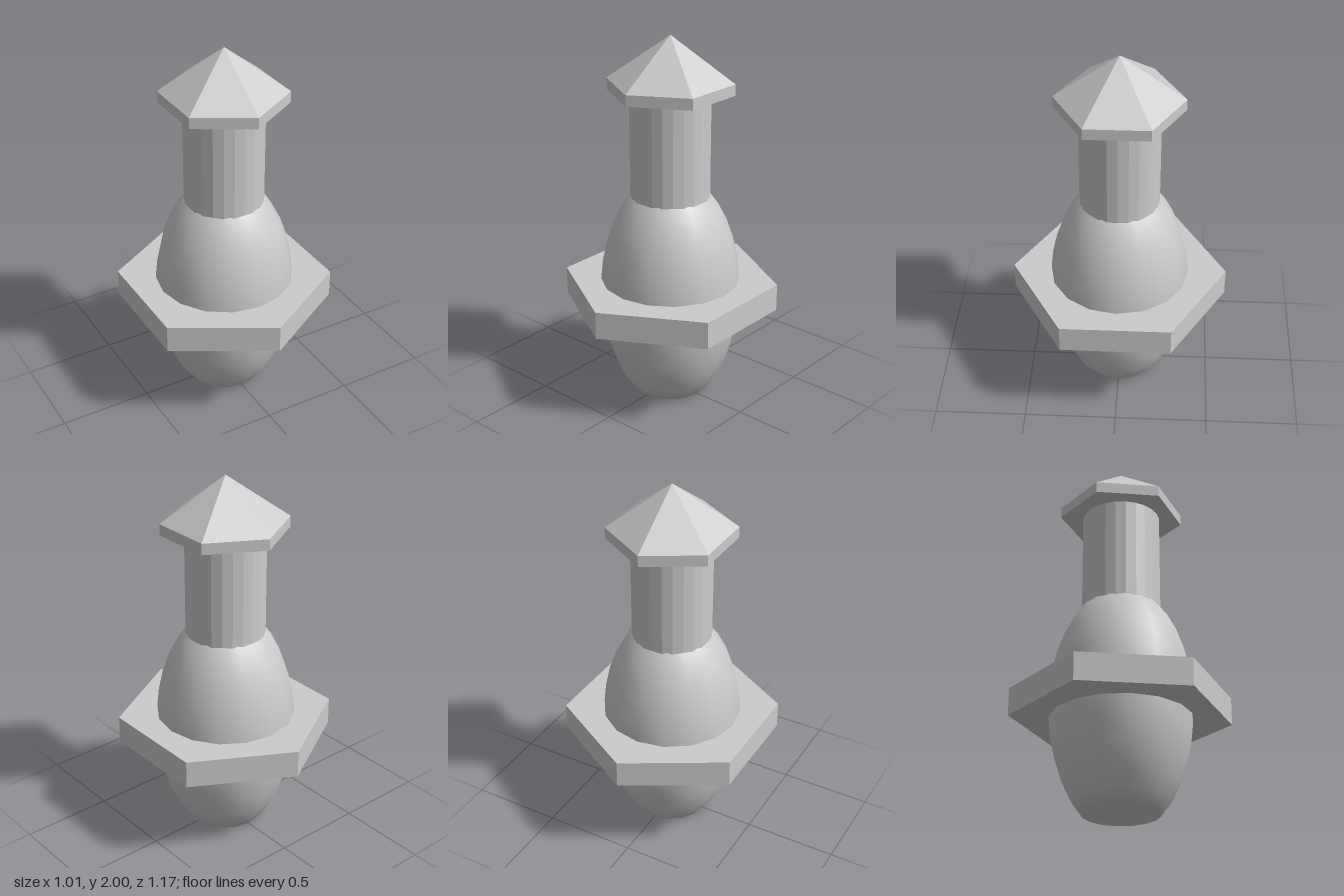
import * as THREE from 'three';

const smooth = new THREE.MeshStandardMaterial({ color: 0xcccccc });
const flat = new THREE.MeshStandardMaterial({ color: 0xcccccc, flatShading: true });

export function createModel() {
  const model = new THREE.Group();

  const add = (name, geometry, material = flat) => {
    const mesh = new THREE.Mesh(geometry, material);
    mesh.name = name;
    model.add(mesh);
  };
  // Upright prism or cone between two heights
  const prism = (rTop, rBottom, y0, y1, sides, open = false) =>
    new THREE.CylinderGeometry(rTop, rBottom, y1 - y0, sides, 1, open).translate(0, (y0 + y1) / 2, 0);

  // Egg-shaped body with a flattened base
  const radius = 0.38, halfHeight = 0.68, centre = 0.58;
  const profile = [new THREE.Vector2(0, 0)];
  for (let deg = -58; deg <= 90; deg += 148 / 14) {
    const a = THREE.MathUtils.degToRad(deg);
    profile.push(new THREE.Vector2(
      Math.max(0, radius * Math.cos(a)),
      Math.max(0, centre + halfHeight * Math.sin(a))
    ));
  }
  add('body', new THREE.LatheGeometry(profile, 16), smooth);

  // Hexagonal collar around the middle
  add('collar', prism(0.585, 0.585, 0.51, 0.66, 6));

  // Faceted neck, sunk into the body
  add('neck', prism(0.213, 0.213, 1.08, 1.72, 24));

  // Hexagonal cap: rim and pointed roof
  add('capRim', prism(0.337, 0.337, 1.7, 1.76, 6));
  add('capRoof', prism(0, 0.337, 1.76, 2, 6, true));

  return model;
}
